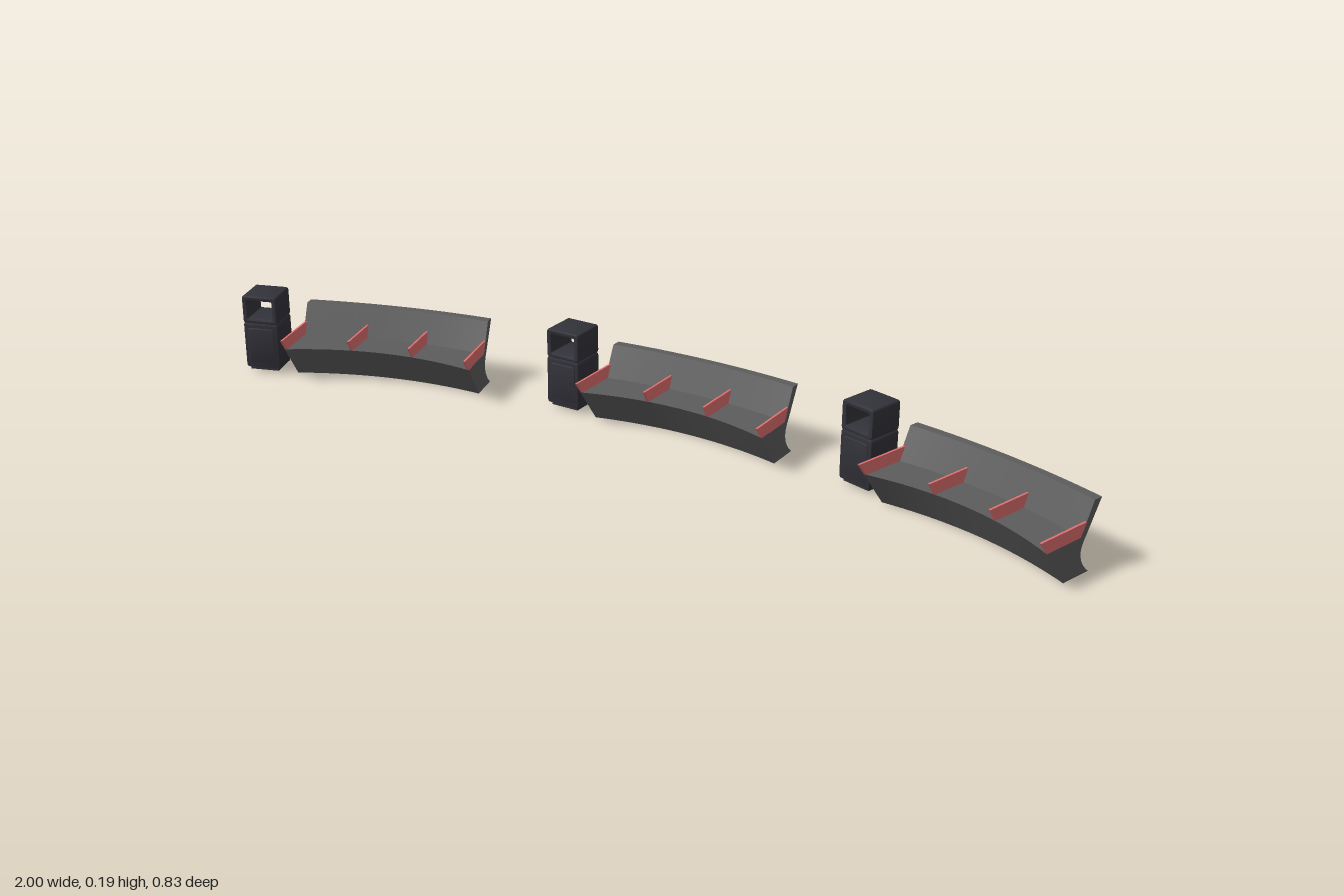
import * as THREE from 'three';
import { toCreasedNormals } from 'three/addons/utils/BufferGeometryUtils.js';

const benchMat = new THREE.MeshStandardMaterial({ color: 0x5c5c5c });
const armMat = new THREE.MeshStandardMaterial({ color: 0xe07070 });
const binMat = new THREE.MeshStandardMaterial({ color: 0x32323a });
const HALF = 0.231; // half the bench width

function mesh(name, geometry, material) {
  const m = new THREE.Mesh(geometry, material);
  m.name = name;
  return m;
}

// Extrude a (z, y) side profile along x, then bow it backwards; the front bows more than the back
function bowedExtrude(shape, width, steps, xCentre = 0) {
  const g = new THREE.ExtrudeGeometry(shape, { depth: width, steps, bevelEnabled: false, curveSegments: 8 });
  g.translate(0, 0, -width / 2).rotateY(-Math.PI / 2).translate(xCentre, 0, 0);
  const p = g.attributes.position;
  for (let i = 0; i < p.count; i++) {
    const z = p.getZ(i), t = p.getX(i) / HALF;
    p.setZ(i, z - (0.014 + 0.17 * z) * (1 - t * t));
  }
  return toCreasedNormals(g, 0.5);
}

function createBench() {
  const bench = new THREE.Group();
  bench.name = 'bench';

  // Seat, reclined back and undercut base in one profile
  const s = new THREE.Shape();
  s.moveTo(0.097, 0);
  s.lineTo(0.158, 0.083);
  s.lineTo(0.0545, 0.083);
  s.lineTo(0.022, 0.153);
  s.lineTo(0, 0.153);
  s.lineTo(0.038, 0.083);
  s.quadraticCurveTo(0.07, 0.04, 0.02, 0);
  s.closePath();
  bench.add(mesh('benchBody', bowedExtrude(s, HALF * 2, 20), benchMat));

  // Thin armrest fins at the ends and thirds
  const a = new THREE.Shape([[0.157, 0.082], [0.18, 0.112], [0.04, 0.112], [0.054, 0.082]]
    .map(([z, y]) => new THREE.Vector2(z, y)));
  for (const k of [-1, -1 / 3, 1 / 3, 1]) {
    bench.add(mesh('armrest', bowedExtrude(a, 0.005, 1, k * (HALF - 0.0025)), armMat));
  }
  return bench;
}

function roundedRect(target, w, y0, y1, r) {
  const h = w / 2;
  target.moveTo(-h + r, y0);
  target.lineTo(h - r, y0);
  target.quadraticCurveTo(h, y0, h, y0 + r);
  target.lineTo(h, y1 - r);
  target.quadraticCurveTo(h, y1, h - r, y1);
  target.lineTo(-h + r, y1);
  target.quadraticCurveTo(-h, y1, -h, y1 - r);
  target.lineTo(-h, y0 + r);
  target.quadraticCurveTo(-h, y0, -h + r, y0);
  return target;
}

// Bevelled slab with a rounded front outline and an optional opening
function slab(w, y0, y1, depth, hole) {
  const b = 0.004;
  const shape = roundedRect(new THREE.Shape(), w - 2 * b, y0 + b, y1 - b, 0.004);
  if (hole) shape.holes.push(hole);
  const g = new THREE.ExtrudeGeometry(shape, {
    depth: depth - 2 * b, bevelSize: b, bevelThickness: b, bevelSegments: 2, curveSegments: 4,
  });
  return toCreasedNormals(g.translate(0, 0, -depth / 2 + b), 0.6);
}

function createBin() {
  const bin = new THREE.Group();
  bin.name = 'bin';
  const plinth = new THREE.BoxGeometry(0.07, 0.012, 0.07).translate(0, 0.011, 0);
  bin.add(mesh('binPlinth', plinth, binMat));
  bin.add(mesh('binBody', slab(0.086, 0.012, 0.126, 0.086), binMat));
  bin.add(mesh('binJoint', new THREE.BoxGeometry(0.076, 0.008, 0.076).translate(0, 0.126, 0), binMat));

  // Hood with a litter opening right through
  const opening = roundedRect(new THREE.Path(), 0.07, 0.132, 0.185, 0.006);
  bin.add(mesh('binHood', slab(0.086, 0.124, 0.193, 0.086, opening), binMat));

  // Door panels on front and rear
  for (const side of [1, -1]) {
    const door = mesh('binDoor', slab(0.068, 0.024, 0.114, 0.01), binMat);
    door.position.z = side * 0.04;
    bin.add(door);
  }
  return bin;
}

export function createModel() {
  const model = new THREE.Group();
  model.name = 'curvedBenchRow';
  // x, z and turn in degrees
  const place = (make, spots) => {
    for (const [x, z, turn] of spots) {
      const part = make();
      part.position.set(x, 0, z);
      part.rotation.y = -THREE.MathUtils.degToRad(turn);
      model.add(part);
    }
  };
  place(createBench, [[-0.641, -0.4, 3.4], [0.134, -0.23, 19.7], [0.809, 0.135, 36.2]]);
  place(createBin, [[-0.957, -0.34, 0], [-0.184, -0.278, 20], [0.525, -0.008, 35.5]]);
  return model;
}
